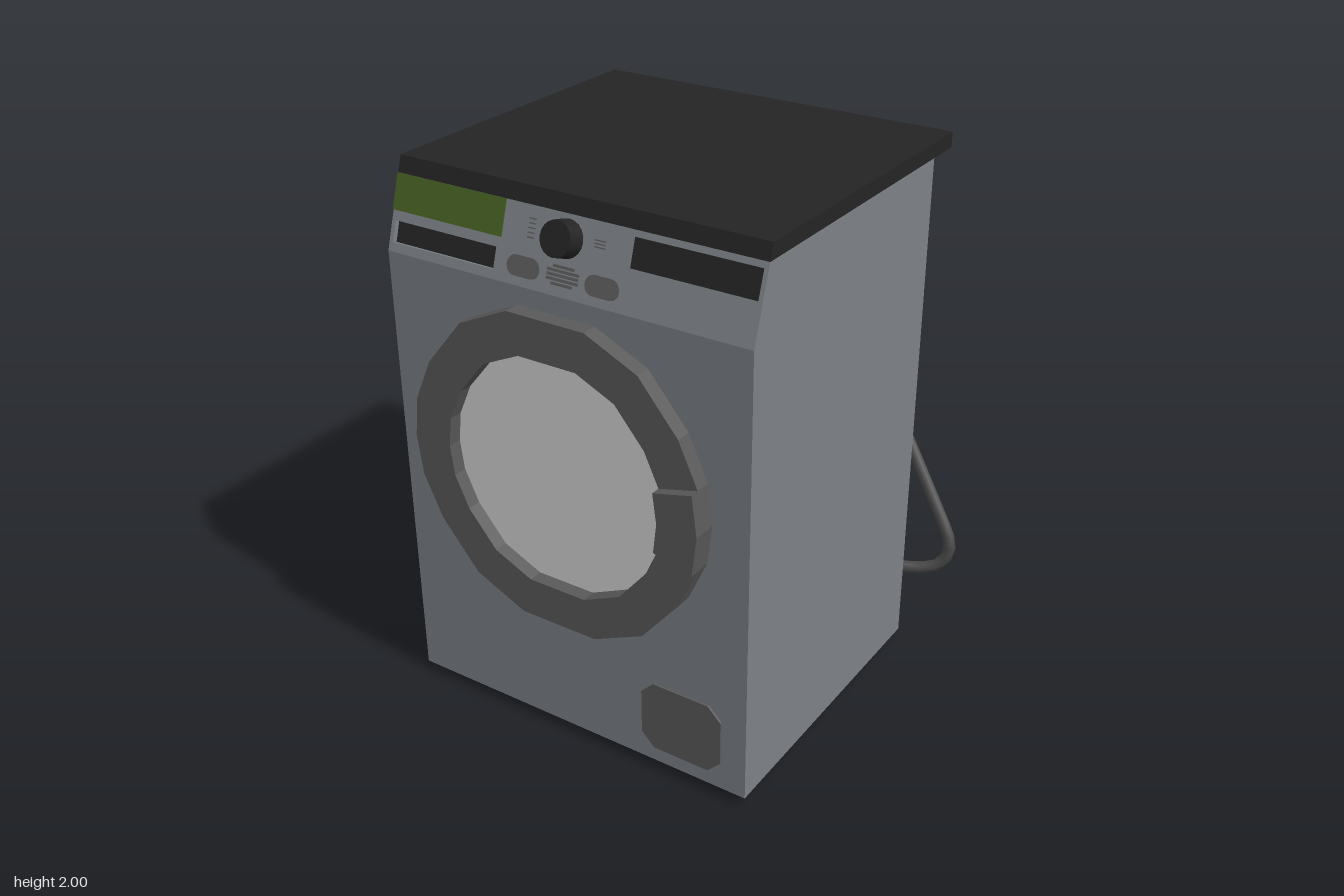
import * as THREE from 'three';

const mat = (name, color) => Object.assign(new THREE.MeshStandardMaterial({ color }), { name });

export function createModel() {
  const model = new THREE.Group();
  model.name = 'washingMachine';
  const steel = mat('steelGrey', 0x7d8288);
  const black = mat('black', 0x242424);
  const trim = mat('darkGreyTrim', 0x5a5a5a);
  const rubber = mat('hoseGrey', 0x4a4a4a);
  const glass = mat('paleGlass', 0xd6d6d6);
  const green = mat('green', 0x466024);

  const add = (name, geo, material, parent = model, x = 0, y = 0, z = 0) => {
    const m = new THREE.Mesh(geo, material);
    m.name = name;
    m.position.set(x, y, z);
    parent.add(m);
    return m;
  };
  const outline = (pts) => new THREE.Shape(pts.map(([a, b]) => new THREE.Vector2(a, b)));
  const extrude = (shape, depth) =>
    new THREE.ExtrudeGeometry(shape, { depth, bevelEnabled: false, curveSegments: 8 });
  // Side profile of [z, y] points swept across the width
  const sweepX = (pts, x0, x1) =>
    extrude(outline(pts), x1 - x0).rotateY(-Math.PI / 2).translate(x1, 0, 0);

  const L = -0.77, R = 0.625, front = 0.645, back = -0.505;
  const bendY = 1.7, lidY = 1.945, inset = 0.02;
  const tilt = Math.atan(0.097 / 0.3);
  const slopeZ = (y) => front - (y - bendY) * Math.tan(tilt);
  const dz = inset * Math.cos(tilt), dy = inset * Math.sin(tilt);

  // Cabinet, set back behind the sloping fascia
  add('cabinet', sweepX([
    [back, 0.04], [front, 0.04], [front, bendY], [front - dz, bendY - dy],
    [slopeZ(lidY) - inset / Math.cos(tilt), lidY], [back, lidY],
  ], L, R), steel);
  add('lid', sweepX([
    [-0.64, lidY], [slopeZ(lidY), lidY], [slopeZ(2), 2], [-0.64, 2],
  ], L, R), black);
  add('backCover', sweepX([
    [back, 0.16], [back, 1.77], [-0.64, 1.69], [-0.64, 0.18],
  ], -0.62, 0.47), black);

  // Control panel: local y runs up the slope, local z points out of it
  const panel = new THREE.Group();
  panel.name = 'controlPanel';
  panel.position.set(0, bendY, front);
  panel.rotation.x = -tilt;
  model.add(panel);
  const up = (y) => (y - bendY) / Math.cos(tilt);
  const rect = (x0, x1, y0, y1) => [[x0, up(y0)], [x1, up(y0)], [x1, up(y1)], [x0, up(y1)]];
  const fascia = outline(rect(L, R, bendY, lidY));
  const slot = rect(-0.755, -0.335, 1.73, 1.798);
  fascia.holes.push(outline(slot));
  add('fascia', extrude(fascia, inset), steel, panel, 0, 0, -inset);
  add('drawerRecess', extrude(outline(slot), 0.003), black, panel, 0, 0, -inset);
  add('greenLabel', extrude(outline(rect(L, -0.32, 1.83, lidY)), 0.004), green, panel);
  add('display', extrude(outline(rect(0.17, 0.61, 1.835, 1.925)), 0.004), black, panel);
  add('knob', new THREE.CylinderGeometry(0.058, 0.062, 0.06, 20).rotateX(Math.PI / 2),
    black, panel, -0.075, up(1.872), 0.03);

  // Pill buttons
  for (const x of [-0.22, 0.08]) {
    const pill = new THREE.Shape();
    pill.absarc(0.03, 0, 0.033, -Math.PI / 2, Math.PI / 2);
    pill.absarc(-0.03, 0, 0.033, Math.PI / 2, Math.PI * 1.5);
    add('button', extrude(pill, 0.004), trim, panel, x, up(1.76), 0);
  }
  // Middle button made of slats, and printed marks beside the knob
  const bar = (name, x, y, w, h) =>
    add(name, new THREE.BoxGeometry(w, h, 0.004), trim, panel, x, up(y), 0.002);
  for (let i = 0; i < 5; i++) {
    bar('buttonSlat', -0.068, 1.736 + i * 0.013, i % 4 ? 0.12 : 0.08, 0.009);
    bar('mark', -0.208, 1.85 + i * 0.014, 0.025, 0.004);
  }
  for (let i = 0; i < 3; i++) bar('mark', 0.05, 1.87 + i * 0.01, 0.04, 0.004);

  // Door: a quarter of the faceted rim, mirrored into a full loop
  const quarter = [[0.578, 0], [0.56, 0.145], [0.49, 0.3], [0.345, 0.475], [0.15, 0.565]];
  const upper = [...quarter, ...quarter.slice().reverse().map(([x, y]) => [-x, y])];
  const rim = [...upper, ...upper.slice(1, -1).reverse().map(([x, y]) => [x, -y])];
  const k = 0.744;
  const inner = rim.map(([x, y]) => [x * k, y * k]);
  const door = new THREE.Group();
  door.name = 'door';
  door.position.set(-0.088, 1.07, front);
  model.add(door);
  const ring = outline(rim);
  ring.holes.push(outline(inner));
  add('doorRing', extrude(ring, 0.057), trim, door);
  add('doorGlass', extrude(outline(inner), 0.006), glass, door);
  const grip = [[0.56, -0.145], [0.578, 0], [0.56, 0.145]];
  add('doorHandle', extrude(outline(
    [...grip, ...grip.slice().reverse().map(([x, y]) => [x * k, y * k])]), 0.035),
    trim, door, 0, 0, 0.056);

  // Filter hatch with cut corners
  const w = 0.158, h = 0.135, c = 0.05;
  add('filterHatch', extrude(outline([
    [-w + c, -h], [w - c, -h], [w, -h + c], [w, h - c],
    [w - c, h], [-w + c, h], [-w, h - c], [-w, -h + c],
  ]), 0.008), trim, model, 0.373, 0.235, front);

  // Feet
  for (const x of [-0.695, 0.55])
    for (const z of [0.365, -0.43])
      add('foot', new THREE.CylinderGeometry(0.028, 0.028, 0.05, 10), trim, model, x, 0.025, z);

  // Drain hose, looping from the top of the back to the cover's lower side
  const path = [
    [-0.51, 1.86, -0.5], [-0.36, 1.835, -0.565], [-0.21, 1.77, -0.622], [-0.07, 1.68, -0.662],
    [0.1, 1.53, -0.703], [0.28, 1.2, -0.698], [0.5, 0.82, -0.686], [0.71, 0.45, -0.672],
    [0.737, 0.385, -0.67], [0.735, 0.33, -0.667], [0.7, 0.28, -0.655],
    [0.63, 0.257, -0.63], [0.46, 0.245, -0.58],
  ].map((p) => new THREE.Vector3(...p));
  const hose = new THREE.CatmullRomCurve3(path, false, 'catmullrom', 0.3);
  add('drainHose', new THREE.TubeGeometry(hose, 48, 0.024, 8), rubber);

  return model;
}
